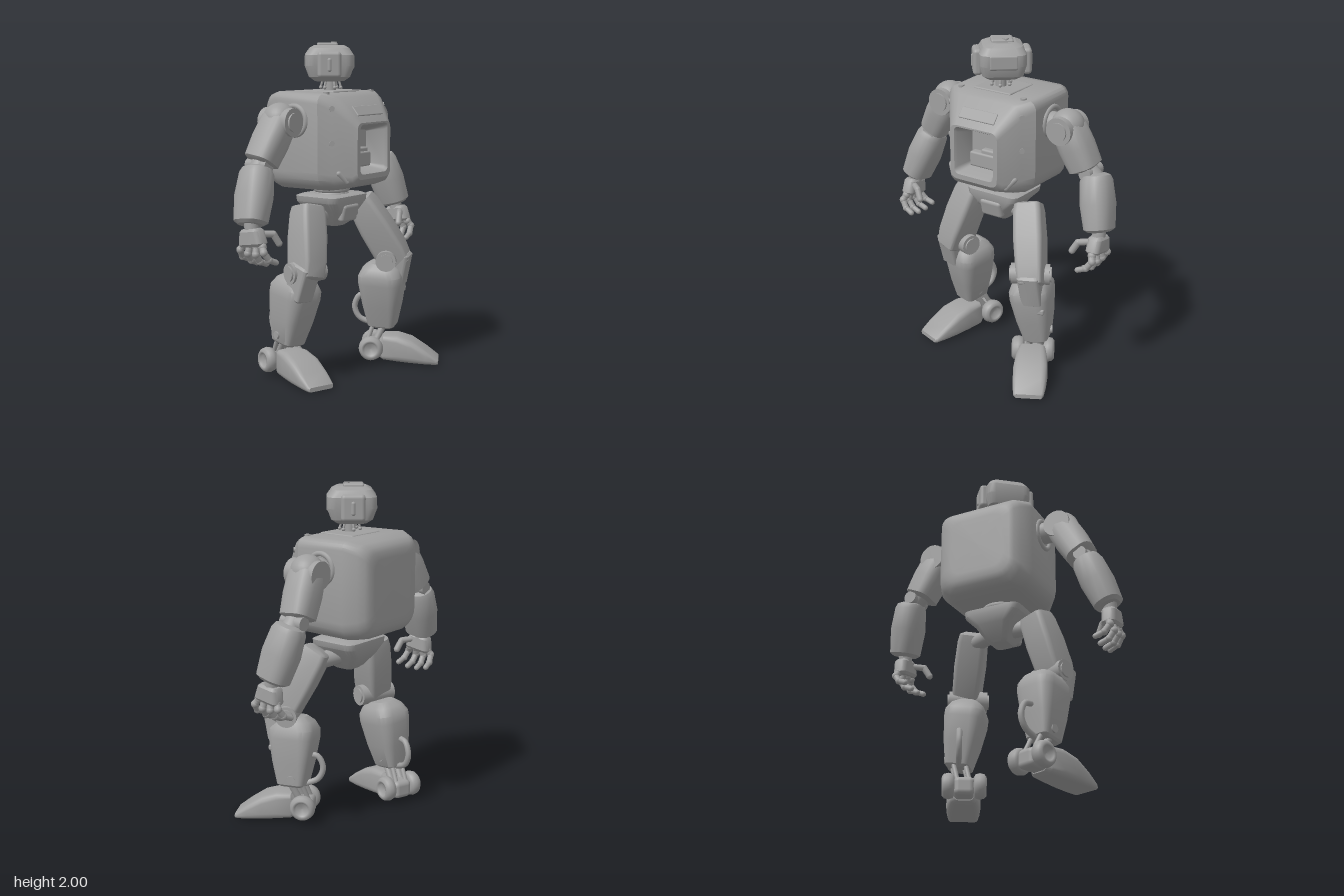
import * as THREE from 'three';
import { toCreasedNormals } from 'three/addons/utils/BufferGeometryUtils.js';
import { RoundedBoxGeometry } from 'three/addons/geometries/RoundedBoxGeometry.js';

const V = (x, y, z) => new THREE.Vector3(x, y, z);
const shell = new THREE.MeshStandardMaterial({ color: 0xa0a0a0 });
shell.name = 'grey shell';

function add(parent, name, geo, pos) {
  const m = new THREE.Mesh(geo, shell);
  m.name = name;
  if (pos) m.position.set(...pos);
  parent.add(m);
  return m;
}

// Rounded-rectangle loop in the xz plane: [y, halfWidth, halfDepth, radius, cx, cz, radius on the +z side]
function ring([y, hw, hd, r = 0.03, cx = 0, cz = 0, r2 = r], k = 4) {
  const pts = [];
  for (let c = 0; c < 4; c++) {
    const q = Math.min(c < 2 ? r : r2, hw, hd);
    const sx = c === 0 || c === 3 ? 1 : -1, sz = c < 2 ? 1 : -1;
    for (let i = 0; i <= k; i++) {
      const a = (c + i / k) * Math.PI / 2;
      pts.push(V(cx + sx * (hw - q) + q * Math.cos(a), y, cz - sz * (hd - q) - q * Math.sin(a)));
    }
  }
  return pts;
}

// Skin a stack of loops and close both ends
function loft(rows, crease = 0.6) {
  const loops = rows.map((r) => ring(r)), n = loops[0].length, out = [];
  const tri = (a, b, c) => out.push(a.x, a.y, a.z, b.x, b.y, b.z, c.x, c.y, c.z);
  const mid = (l) => l.reduce((s, p) => s.add(p), V(0, 0, 0)).divideScalar(n);
  const first = loops[0], last = loops[loops.length - 1], m0 = mid(first), m1 = mid(last);
  for (let j = 0; j < n; j++) {
    const k = (j + 1) % n;
    for (let i = 0; i + 1 < loops.length; i++) {
      const A = loops[i], B = loops[i + 1];
      tri(A[j], A[k], B[k]);
      tri(A[j], B[k], B[j]);
    }
    tri(m0, first[k], first[j]);
    tri(m1, last[j], last[k]);
  }
  const g = new THREE.BufferGeometry();
  g.setAttribute('position', new THREE.Float32BufferAttribute(out, 3));
  return toCreasedNormals(g, crease);
}

// Loft running from back to front: rows of [z, halfWidth, yLow, yHigh, radius, cx, lowerRadius]
const loftZ = (rows) => loft(rows.map(([z, hw, a, b, r, cx, low]) =>
  [z, hw, (b - a) / 2, r, cx || 0, -(a + b) / 2, low])).rotateX(Math.PI / 2);

// Loft from one point up to another, section turned by yaw; row heights are 0..1
function limb(parent, name, low, high, yaw, rows) {
  const len = low.distanceTo(high), y = high.clone().sub(low).normalize();
  const x = V(Math.cos(yaw), 0, -Math.sin(yaw));
  x.addScaledVector(y, -x.dot(y)).normalize();
  const m = add(parent, name, loft(rows.map(([t, ...r]) => [t * len, ...r])));
  m.quaternion.setFromRotationMatrix(new THREE.Matrix4().makeBasis(x, y, x.clone().cross(y)));
  m.position.copy(low);
  return m;
}

// Straight bar between two points, flat or round ended
function rod(parent, name, a, b, r, round = false) {
  const d = b.clone().sub(a), len = d.length();
  const g = round ? new THREE.CapsuleGeometry(r, len, 4, 10) : new THREE.CylinderGeometry(r, r, len, 24);
  const m = add(parent, name, g);
  m.position.copy(a).addScaledVector(d, 0.5);
  m.quaternion.setFromUnitVectors(V(0, 1, 0), d.normalize());
  return m;
}

const hose = (parent, name, pts, r) =>
  add(parent, name, new THREE.TubeGeometry(new THREE.CatmullRomCurve3(pts), 20, r, 8));

function buildTorso(root) {
  const cx = 0.02;
  // Shell folds inward at the front to form the chest recess
  add(root, 'torso', loftZ([
    [-0.41, 0.17, 1.25, 1.6, 0.06, cx, 0.07], [-0.408, 0.215, 1.205, 1.64, 0.06, cx, 0.08],
    [-0.393, 0.24, 1.17, 1.67, 0.06, cx, 0.1], [-0.36, 0.268, 1.145, 1.692, 0.06, cx, 0.11],
    [-0.28, 0.305, 1.132, 1.71, 0.05, cx, 0.11], [0.04, 0.305, 1.135, 1.705, 0.06, cx, 0.11],
    [0.11, 0.255, 1.145, 1.68, 0.07, cx, 0.09],
    [0.2, 0.185, 1.175, 1.57, 0.05, cx, 0.05], [0.225, 0.165, 1.205, 1.535, 0.04, cx],
    [0.225, 0.138, 1.235, 1.525, 0.03, cx], [0.205, 0.128, 1.245, 1.515, 0.03, cx],
    [0.09, 0.105, 1.265, 1.48, 0.02, cx],
  ]));
  add(root, 'recessPanel', new RoundedBoxGeometry(0.19, 0.09, 0.06, 2, 0.012), [0.02, 1.31, 0.105]);
  add(root, 'recessBlock', new RoundedBoxGeometry(0.1, 0.04, 0.05, 2, 0.012), [0.05, 1.36, 0.1]);
  add(root, 'browPanel', new RoundedBoxGeometry(0.25, 0.07, 0.012, 2, 0.005), [cx, 1.6, 0.175]).rotation.x = -0.7;
  add(root, 'neckPlate', new RoundedBoxGeometry(0.26, 0.02, 0.24, 2, 0.008), [0.01, 1.704, -0.09]);
  for (const s of [-1, 1]) {
    // Slanted latches and bolts on the chamfered front corners
    rod(root, 'latch', V(cx + s * 0.185, 1.195, 0.165), V(cx + s * 0.225, 1.245, 0.135), 0.018, true);
    for (const y of [1.42, 1.62])
      rod(root, 'bolt', V(cx + s * 0.24, y, 0.09), V(cx + s * 0.26, y, 0.112), 0.016);
    rod(root, 'topBolt', V(cx + s * 0.22, 1.68, 0.04), V(cx + s * 0.22, 1.712, 0.04), 0.018);
    // Collar where the arm leaves the shell
    add(root, 'shoulderCollar', new THREE.TorusGeometry(0.085, 0.016, 10, 32).rotateY(Math.PI / 2), [cx + s * 0.303, 1.545, -0.13]);
  }
  // Waist bellows and pelvis
  for (let i = 0; i < 4; i++)
    add(root, 'waistRing', new THREE.TorusGeometry(0.095 - i * 0.004, 0.02, 10, 32).rotateX(Math.PI / 2), [cx, 1.15 - i * 0.03, -0.09]);
  rod(root, 'waist', V(cx, 1.03, -0.09), V(cx, 1.15, -0.09), 0.09);
  add(root, 'pelvis', loft([
    [0.9, 0.055, 0.06, 0.03, cx, -0.08], [0.915, 0.07, 0.08, 0.03, cx, -0.08],
    [0.99, 0.115, 0.135, 0.04, cx, -0.09], [1.05, 0.175, 0.155, 0.05, cx, -0.09],
    [1.085, 0.182, 0.155, 0.05, cx, -0.09], [1.095, 0.16, 0.135, 0.05, cx, -0.09],
  ]));
  add(root, 'pelvisFront', new RoundedBoxGeometry(0.15, 0.11, 0.05, 3, 0.02), [cx, 0.985, 0.035]).rotation.x = 0.25;
}

function buildHead(root) {
  const head = new THREE.Group();
  head.name = 'head';
  head.position.set(-0.003, 1.768, -0.09);
  head.rotation.y = 0.7;
  root.add(head);
  add(head, 'skull', loft([
    [0, 0.085, 0.085, 0.03], [0.025, 0.12, 0.12, 0.04], [0.09, 0.136, 0.144, 0.05],
    [0.155, 0.136, 0.142, 0.05], [0.195, 0.115, 0.115, 0.05], [0.212, 0.08, 0.085, 0.04],
  ], 0.45));
  add(head, 'crown', new RoundedBoxGeometry(0.13, 0.03, 0.12, 2, 0.012), [0, 0.212, -0.01]);
  add(head, 'faceVisor', new RoundedBoxGeometry(0.17, 0.09, 0.03, 3, 0.014), [0, 0.115, 0.131]);
  rod(head, 'topSensor', V(0.02, 0.215, 0.03), V(0.02, 0.232, 0.03), 0.018);
  for (const s of [-1, 1]) {
    add(head, 'earPod', new RoundedBoxGeometry(0.055, 0.155, 0.14, 4, 0.022), [s * 0.143, 0.098, -0.005]);
    rod(head, 'earSlot', V(s * 0.165, 0.07, -0.005), V(s * 0.165, 0.125, -0.005), 0.014, true);
  }
  // Neck post with loose cables round it
  rod(root, 'neck', V(0, 1.69, -0.08), V(0, 1.79, -0.08), 0.032);
  for (let i = 0; i < 6; i++) {
    const c = Math.cos(i * 1.047), s = Math.sin(i * 1.047);
    hose(root, 'neckCable', [V(c * 0.04, 1.79, -0.08 + s * 0.04), V(c * 0.055, 1.75, -0.08 + s * 0.055), V(c * 0.06, 1.73, -0.08 + s * 0.06)], 0.007);
    add(root, 'cablePlug', new THREE.SphereGeometry(0.011, 10, 8), [c * 0.06, 1.73, -0.08 + s * 0.06]);
  }
}

function buildArm(root, s, shoulder, elbowHigh, elbowLow, wrist) {
  const arm = new THREE.Group();
  arm.name = s > 0 ? 'leftArm' : 'rightArm';
  root.add(arm);
  rod(arm, 'shoulderAxle', V(s * 0.27, shoulder.y, shoulder.z), V(shoulder.x, shoulder.y, shoulder.z), 0.065);
  add(arm, 'shoulderBall', new THREE.SphereGeometry(0.1, 28, 18), shoulder.toArray());
  rod(arm, 'shoulderDrum', shoulder.clone().add(V(0, -0.01, -0.1)), shoulder.clone().add(V(0, -0.01, 0.105)), 0.082);
  rod(arm, 'shoulderHub', shoulder.clone().add(V(0, -0.01, 0)), shoulder.clone().add(V(0, -0.01, 0.115)), 0.055);
  limb(arm, 'upperArm', elbowHigh, shoulder, 0, [
    [-0.02, 0.065, 0.07, 0.05], [0.03, 0.088, 0.093, 0.06], [0.5, 0.098, 0.1, 0.07],
    [0.95, 0.094, 0.097, 0.07], [1.15, 0.075, 0.08, 0.07],
  ]);
  rod(arm, 'elbowPost', elbowHigh.clone().lerp(shoulder, 0.1), elbowLow.clone().lerp(wrist, 0.1), 0.055);
  const e = elbowHigh.clone().lerp(elbowLow, 0.5);
  rod(arm, 'elbowPin', e.clone().add(V(0, 0, -0.075)), e.clone().add(V(0, 0, 0.075)), 0.04);
  limb(arm, 'forearm', wrist, elbowLow, 0, [
    [0, 0.06, 0.08, 0.06], [0.05, 0.08, 0.1, 0.07], [0.5, 0.094, 0.11, 0.08],
    [0.9, 0.088, 0.1, 0.08], [0.99, 0.078, 0.085, 0.07], [1.03, 0.05, 0.06, 0.05],
  ]);
  // Hand: palm, four curled fingers and a thumb
  const at = (x, y, z) => wrist.clone().add(V(s * x, y, z));
  rod(arm, 'wristPost', at(0, 0.03, 0), at(0, -0.04, 0.01), 0.04);
  limb(arm, 'palm', at(0.005, -0.12, 0.025), at(0.005, -0.02, 0.01), 0, [
    [0, 0.032, 0.075, 0.02], [0.15, 0.044, 0.085, 0.03], [0.85, 0.044, 0.07, 0.03], [1, 0.032, 0.055, 0.02]]);
  for (let i = 0; i < 4; i++) {
    const z = -0.04 + i * 0.045, f = (i - 1.5) * 0.013, drop = i === 0 || i === 3 ? 0.015 : 0;
    const p = [at(0.01, -0.115, z), at(0.022, -0.16 + drop, z + f), at(-0.01, -0.205 + drop, z + f * 1.6), at(-0.06, -0.225 + drop, z + f * 2)];
    for (let j = 0; j < 3; j++) {
      rod(arm, 'finger', p[j], p[j + 1], 0.021 - j * 0.002, true);
      add(arm, 'knuckle', new THREE.SphereGeometry(0.025 - j * 0.002, 12, 8), p[j].toArray());
    }
  }
  const t = [at(-0.03, -0.05, 0.06), at(-0.085, -0.055, 0.095), at(-0.115, -0.11, 0.11)];
  for (let j = 0; j < 2; j++) rod(arm, 'thumb', t[j], t[j + 1], 0.02, true);
}

function buildLeg(root, s, yaw, p) {
  const leg = new THREE.Group();
  leg.name = s > 0 ? 'leftLeg' : 'rightLeg';
  root.add(leg);
  rod(leg, 'hipAxle', V(0.02 + s * 0.05, 0.985, -0.08), V(p.hip.x, 0.97, p.hip.z), 0.05);
  limb(leg, 'thigh', p.knee, p.hip, yaw * 0.6, [
    [-0.12, 0.055, 0.06, 0.02], [-0.08, 0.07, 0.085, 0.02], [0.15, 0.08, 0.1, 0.025], [0.55, 0.088, 0.097, 0.03],
    [0.9, 0.085, 0.085, 0.03], [1.01, 0.078, 0.075, 0.03], [1.03, 0.06, 0.06, 0.02],
  ]);
  // Knee drum across the leg, with a shield hanging over the shin
  const side = V(Math.cos(yaw), 0, -Math.sin(yaw));
  const off = (v, d, y = 0, f = 0) => v.clone().addScaledVector(side, d).add(V(Math.sin(yaw) * f, y, Math.cos(yaw) * f));
  const k = p.axle;
  rod(leg, 'kneeDrum', off(k, -0.115), off(k, 0.115), 0.063);
  rod(leg, 'kneeCap', off(k, -0.125), off(k, 0.125), 0.045);
  limb(leg, 'kneeShield', p.shieldLow, p.shieldHigh, yaw * 0.6, [
    [0, 0.05, 0.055, 0.02], [0.06, 0.062, 0.068, 0.02], [0.94, 0.066, 0.075, 0.02], [1, 0.055, 0.06, 0.02]]);
  limb(leg, 'calf', p.shin, p.calfTop, yaw * 0.6, [
    [0, 0.06, 0.07, 0.03], [0.03, 0.073, 0.085, 0.03], [0.35, 0.1, 0.115, 0.05], [0.7, 0.12, 0.14, 0.07],
    [0.82, 0.12, 0.138, 0.07], [0.93, 0.1, 0.115, 0.07], [1, 0.065, 0.075, 0.05],
  ]);
  add(leg, 'shinVent', new RoundedBoxGeometry(0.08, 0.035, 0.03, 2, 0.01), off(p.shin, 0, 0.24, 0.12).toArray()).rotation.y = yaw * 0.6;
  rod(leg, 'calfBolt', off(p.shin, -0.085, 0.06), off(p.shin, 0.085, 0.06), 0.024);
  hose(leg, 'calfHose', [off(p.shin, 0, 0.2, -0.1), off(p.shin, 0, 0.19, -0.15), off(p.shin, 0, 0.12, -0.18),
    off(p.shin, 0, 0.05, -0.15), off(p.shin, 0, 0.01, -0.06)], 0.018);
  // Ankle struts
  for (const d of [-0.035, 0.035]) {
    rod(leg, 'ankleStrut', off(p.ankle, d), off(p.shin, d, 0.04, 0.02), 0.02);
    rod(leg, 'ankleRod', off(p.ankle, d, 0, -0.05), off(p.shin, d, 0.04, -0.05), 0.014);
  }
  // Foot with a hollow-faced hub on each side of the heel
  const foot = new THREE.Group();
  foot.name = 'foot';
  foot.position.set(p.ankle.x, 0, p.ankle.z);
  foot.rotation.y = yaw;
  leg.add(foot);
  add(foot, 'toeShell', loftZ([
    [0.04, 0.06, 0.03, 0.15, 0.03], [0.065, 0.08, 0.02, 0.175, 0.03], [0.15, 0.095, 0.012, 0.178, 0.04],
    [0.24, 0.103, 0.006, 0.15, 0.04], [0.33, 0.099, 0.002, 0.09, 0.03], [0.395, 0.09, 0, 0.04, 0.02], [0.408, 0.08, 0.004, 0.03, 0.01],
  ].map(([z, ...r]) => [z * p.reach, ...r])));
  add(foot, 'heelBlock', new RoundedBoxGeometry(0.12, 0.11, 0.14, 3, 0.03), [0, 0.09, 0]);
  const hub = [[0, -0.035], [0.05, -0.035], [0.07, -0.025], [0.077, 0], [0.071, 0.026], [0.056, 0.04],
    [0.042, 0.036], [0.034, 0.02], [0, 0.016]].map(([x, y]) => new THREE.Vector2(x, y));
  for (const d of [-1, 1])
    add(foot, 'ankleHub', new THREE.LatheGeometry(hub, 32).rotateZ(-d * Math.PI / 2), [d * 0.09, 0.1, -0.01]);
}

export function createModel() {
  const root = new THREE.Group();
  root.name = 'robot';
  buildTorso(root);
  buildHead(root);
  buildArm(root, 1, V(0.435, 1.54, -0.125), V(0.55, 1.3, -0.15), V(0.615, 1.27, -0.155), V(0.692, 0.958, -0.085));
  buildArm(root, -1, V(-0.415, 1.555, -0.13), V(-0.55, 1.32, -0.16), V(-0.575, 1.29, -0.165), V(-0.69, 0.985, -0.12));
  buildLeg(root, 1, 0.52, {
    hip: V(0.238, 1.032, -0.03), knee: V(0.378, 0.66, 0.14), axle: V(0.342, 0.66, 0.1),
    shieldLow: V(0.385, 0.5, 0.125), shieldHigh: V(0.38, 0.71, 0.165),
    calfTop: V(0.322, 0.64, 0.075), shin: V(0.372, 0.22, 0.05), ankle: V(0.315, 0.1, 0.02), reach: 1,
  });
  buildLeg(root, -1, -0.32, {
    hip: V(-0.212, 1.03, -0.09), knee: V(-0.31, 0.66, -0.02), axle: V(-0.285, 0.66, -0.05),
    shieldLow: V(-0.335, 0.5, -0.07), shieldHigh: V(-0.33, 0.71, -0.01),
    calfTop: V(-0.272, 0.63, -0.12), shin: V(-0.297, 0.21, -0.18), ankle: V(-0.265, 0.1, -0.255), reach: 1.06,
  });
  return root;
}
